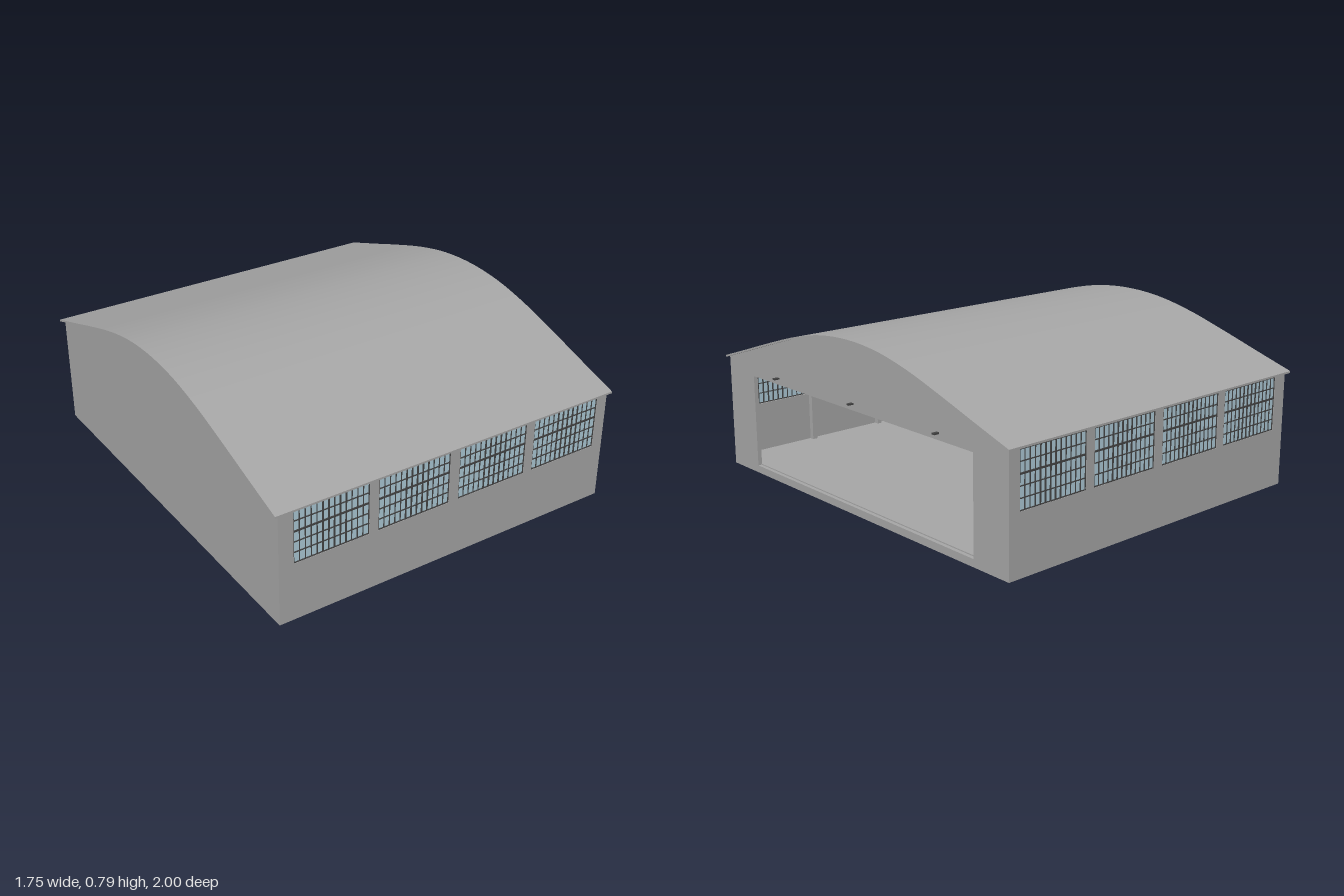
import * as THREE from 'three';
import { toCreasedNormals } from 'three/addons/utils/BufferGeometryUtils.js';

const material = (name, color, side = THREE.FrontSide) => {
  const m = new THREE.MeshStandardMaterial({ color, side });
  m.name = name;
  return m;
};

export function createModel() {
  const grey = material('concrete grey', 0xa6a6a6);
  const glass = material('window blue', 0xaecbd8);
  const steel = material('dark steel', 0x444444);
  const root = new THREE.Group();
  root.name = 'hangar';

  const add = (parent, name, geometry, mat) => {
    const mesh = new THREE.Mesh(geometry, mat);
    mesh.name = name;
    parent.add(mesh);
    return mesh;
  };
  const box = (parent, name, mat, [w, h, d], [x, y, z]) => {
    const mesh = add(parent, name, new THREE.BoxGeometry(w, h, d), mat);
    mesh.position.set(x, y, z);
    return mesh;
  };
  // square bar between two points
  const beam = (parent, name, a, b, t) => {
    const mesh = add(parent, name, new THREE.BoxGeometry(t, t, a.distanceTo(b)), steel);
    mesh.position.copy(a).add(b).multiplyScalar(0.5);
    mesh.lookAt(b);
  };
  // extrude a (z, y) outline along x
  const alongX = (shape, x0, x1) =>
    new THREE.ExtrudeGeometry(shape, { depth: x1 - x0, bevelEnabled: false, curveSegments: 4 })
      .rotateY(Math.PI / 2).translate(x0, 0, 0);

  // bell-shaped roof curve
  const half = [[0, 0.785], [0.2, 0.771], [0.4, 0.729], [0.6, 0.669], [0.8, 0.604], [1, 0.54]];
  const knots = [...half.slice(1).reverse().map(([z, y]) => [-z, y]), ...half];
  const arch = new THREE.SplineCurve(knots.map(([z, y]) => new THREE.Vector2(z, y))).getPoints(60);
  const roofY = (z) => {
    const i = Math.max(1, arch.findIndex((p) => p.x >= z));
    const a = arch[i - 1], b = arch[i];
    return a.y + (b.y - a.y) * (z - a.x) / (b.x - a.x);
  };

  // roof shell
  const under = arch.map((p) => new THREE.Vector2(p.x, p.y - 0.009)).reverse();
  add(root, 'roof', toCreasedNormals(alongX(new THREE.Shape([...arch, ...under]), -0.875, 0.865), 0.5), grey);

  // gable walls, the +x one with the wide doorway
  const gable = () => {
    const top = [0.985, ...arch.map((p) => p.x).filter((z) => Math.abs(z) < 0.97).reverse(), -0.985];
    return new THREE.Shape([
      new THREE.Vector2(-0.985, 0), new THREE.Vector2(0.985, 0),
      ...top.map((z) => new THREE.Vector2(z, roofY(z) - 0.007)),
    ]);
  };
  const rectHole = (x0, y0, x1, y1) => new THREE.Path([
    new THREE.Vector2(x0, y0), new THREE.Vector2(x0, y1),
    new THREE.Vector2(x1, y1), new THREE.Vector2(x1, y0),
  ]);
  add(root, 'rearGable', alongX(gable(), -0.855, -0.835), grey);
  const doorGable = gable();
  doorGable.holes.push(rectHole(-0.78, 0.035, 0.78, 0.475));
  add(root, 'doorGable', alongX(doorGable, 0.83, 0.85), grey);

  // recessed floor slab
  box(root, 'floor', grey, [1.67, 0.01, 1.93], [-0.0025, 0.035, 0]);

  // long walls with four multi-pane windows each
  const windows = [-0.605, -0.2, 0.21, 0.615];
  const W = 0.36, Y0 = 0.275, Y1 = 0.525, H = Y1 - Y0, yMid = (Y0 + Y1) / 2;
  for (const s of [1, -1]) {
    const side = new THREE.Group();
    side.name = s > 0 ? 'frontWall' : 'backWall';
    root.add(side);
    const outline = new THREE.Shape([[-0.835, 0], [0.83, 0], [0.83, 0.537], [-0.835, 0.537]]
      .map(([x, y]) => new THREE.Vector2(x, y)));
    windows.forEach((x) => outline.holes.push(rectHole(x - W / 2, Y0, x + W / 2, Y1)));
    const wall = add(side, 'wallPanel',
      new THREE.ExtrudeGeometry(outline, { depth: 0.02, bevelEnabled: false }), grey);
    wall.position.z = s > 0 ? 0.965 : -0.985;

    windows.forEach((x) => {
      const win = new THREE.Group();
      win.name = 'window';
      win.position.set(x, 0, s * 0.977);
      side.add(win);
      box(win, 'glass', glass, [W, H, 0.004], [0, yMid, 0]);
      for (let i = 0; i <= 13; i++) {
        const t = i > 4 && i < 10 ? 0.006 : 0.003;
        box(win, 'mullion', steel, [t, H, 0.012], [(i / 13 - 0.5) * (W - 0.004), yMid, 0]);
      }
      for (let j = 0; j <= 5; j++) {
        const t = j === 3 ? 0.008 : 0.004;
        box(win, 'glazingBar', steel, [W, t, 0.012], [0, Y0 + 0.002 + (j / 5) * (H - 0.004), 0]);
      }
    });

    // posts between the windows
    for (const x of [-0.405, 0.005, 0.413]) {
      box(side, 'post', grey, [0.025, 0.49, 0.025], [x, 0.285, s * 0.953]);
    }
  }

  // roof trusses
  const V = (x, y, z) => new THREE.Vector3(x, y, z);
  const bays = 12, chordY = 0.515, zAt = (i) => -0.96 + (1.92 * i) / bays;
  const topY = (z) => roofY(z) - 0.02;
  const trussX = [-0.815, -0.405, 0.005, 0.413, 0.81];
  trussX.forEach((x) => {
    const truss = new THREE.Group();
    truss.name = 'truss';
    root.add(truss);
    beam(truss, 'bottomChord', V(x, chordY, -0.965), V(x, chordY, 0.965), 0.014);
    for (let i = 0; i < bays; i++) {
      const a = zAt(i), b = zAt(i + 1);
      beam(truss, 'topChord', V(x, topY(a), a), V(x, topY(b), b), 0.014);
      if (i > 0) beam(truss, 'strut', V(x, chordY, a), V(x, topY(a), a), 0.009);
      const rising = i < bays / 2;
      beam(truss, 'diagonal', V(x, rising ? chordY : topY(a), a), V(x, rising ? topY(b) : chordY, b), 0.009);
    }
  });

  // purlins and cross bracing between the trusses
  for (let i = 1; i < bays; i++) {
    const z = zAt(i);
    beam(root, 'purlin', V(-0.83, topY(z), z), V(0.825, topY(z), z), 0.01);
  }
  for (let k = 0; k < trussX.length - 1; k++) {
    for (let i = 2; i < bays; i += 2) {
      const z = zAt(i);
      beam(root, 'brace', V(trussX[k], chordY, z), V(trussX[k + 1], topY(z), z), 0.008);
      beam(root, 'brace', V(trussX[k], topY(z), z), V(trussX[k + 1], chordY, z), 0.008);
    }
  }

  // lamps over the doorway
  for (const z of [-0.57, 0, 0.57]) {
    box(root, 'doorLamp', steel, [0.026, 0.007, 0.016], [0.862, 0.505, z]);
  }
  return root;
}
